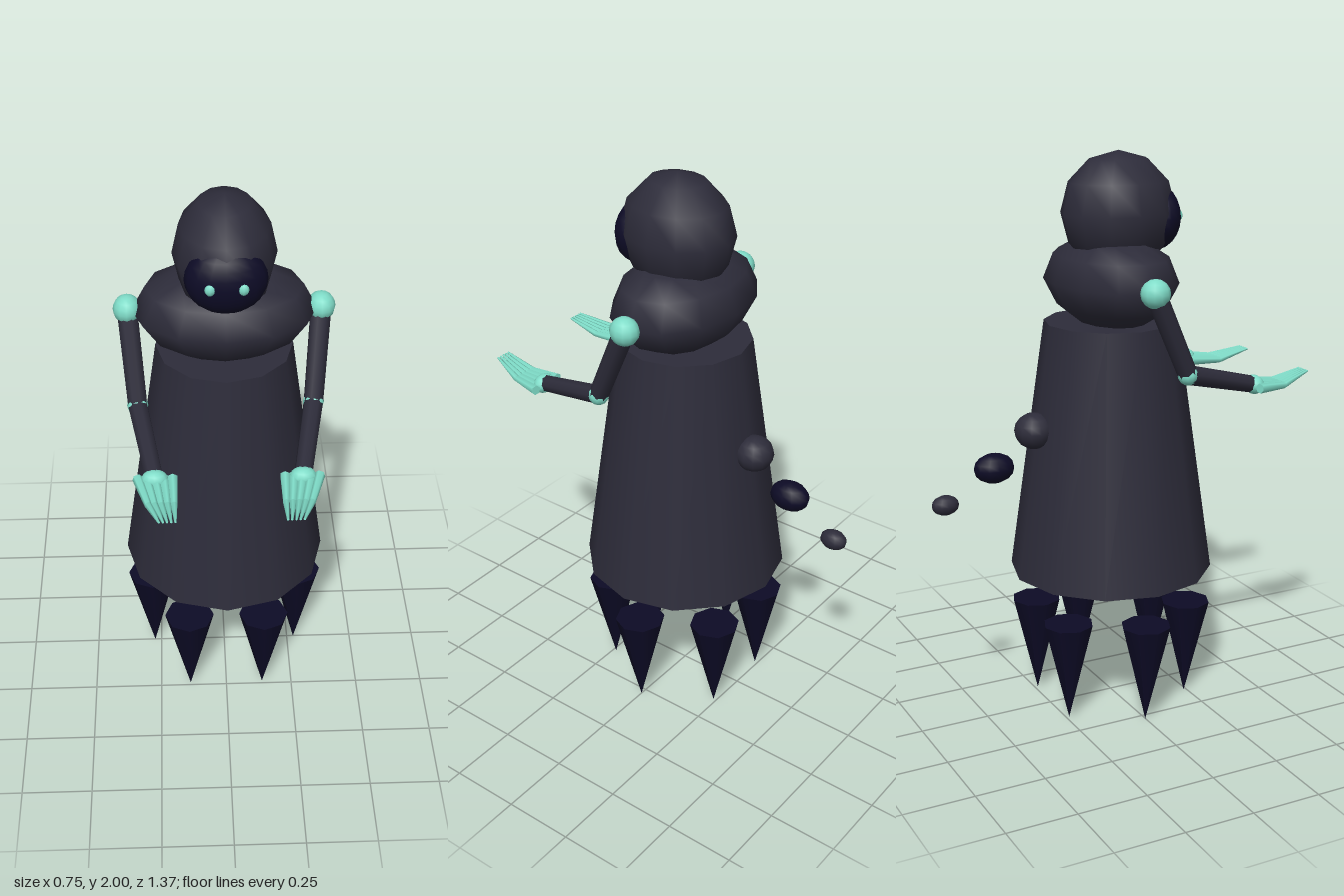
import * as THREE from 'three';

export function createModel() {
  const model = new THREE.Group();
  model.name = 'hoodedSpectre';
  const mat = (name, color) => {
    const m = new THREE.MeshStandardMaterial({ color });
    m.name = name;
    return m;
  };
  const cloth = mat('charcoal cloth', 0x2d2c3a);
  const shadow = mat('midnight blue', 0x0d0b26);
  const teal = mat('pale teal', 0x7fdcc8);

  const add = (name, geometry, material, parent = model) => {
    const mesh = new THREE.Mesh(geometry, material);
    mesh.name = name;
    parent.add(mesh);
    return mesh;
  };
  const ellipsoid = (name, pos, size, material, parent, w = 12, h = 8) => {
    const mesh = add(name, new THREE.SphereGeometry(1, w, h), material, parent);
    mesh.position.set(...pos);
    mesh.scale.set(...size);
    return mesh;
  };
  // Tapered cylinder running from point a to point b
  const limb = (name, a, b, ra, rb, material, parent, sides = 8) => {
    const p = new THREE.Vector3(...a), q = new THREE.Vector3(...b);
    const dir = q.clone().sub(p);
    const mesh = add(name, new THREE.CylinderGeometry(rb, ra, dir.length(), sides), material, parent);
    mesh.position.copy(p).add(q).multiplyScalar(0.5);
    mesh.quaternion.setFromUnitVectors(new THREE.Vector3(0, 1, 0), dir.normalize());
  };

  // Robe
  add('robe', new THREE.CylinderGeometry(0.235, 0.365, 0.91, 12), cloth).position.y = 0.96;

  // Wide cowl around the shoulders
  const profile = [[0, -0.142], [0.16, -0.14], [0.25, -0.09], [0.312, 0], [0.265, 0.09], [0.165, 0.137], [0, 0.145]]
    .map(([x, y]) => new THREE.Vector2(x, y));
  const cowl = add('cowl', new THREE.LatheGeometry(profile, 12), cloth);
  cowl.position.y = 1.555;
  cowl.scale.z = 0.69;

  // Hood, face and eyes
  ellipsoid('hood', [0, 1.79, 0.03], [0.172, 0.21, 0.208], cloth, model, 12, 6);
  ellipsoid('face', [0, 1.77, 0.165], [0.135, 0.12, 0.083], shadow, model, 16, 12);
  for (const s of [-1, 1]) ellipsoid('eye', [s * 0.053, 1.772, 0.238], [0.018, 0.02, 0.013], teal, model, 8, 6);

  // Arms with ball joints and bony hands
  for (const s of [-1, 1]) {
    const arm = new THREE.Group();
    arm.name = s > 0 ? 'leftArm' : 'rightArm';
    model.add(arm);
    const shoulder = [s * 0.325, 1.56, 0];
    const elbow = [s * 0.298, 1.265, 0.143];
    const wrist = [s * 0.242, 1.185, 0.445];
    ellipsoid('shoulderJoint', shoulder, [0.048, 0.05, 0.052], teal, arm);
    limb('upperArm', shoulder, elbow, 0.036, 0.034, cloth, arm);
    ellipsoid('elbowJoint', elbow, [0.036, 0.036, 0.036], teal, arm);
    limb('forearm', elbow, wrist, 0.034, 0.03, cloth, arm);
    ellipsoid('wristJoint', wrist, [0.045, 0.034, 0.033], teal, arm);
    for (let i = 0; i < 5; i++) {
      const t = i / 4;
      const x0 = s * (0.298 - 0.114 * t), x2 = s * (0.228 - 0.052 * t);
      const base = [x0, 1.183, 0.435];
      const knuckle = [(x0 + x2) / 2, 1.174, 0.56];
      const tip = [x2, 1.205, 0.682];
      limb('fingerBase', base, knuckle, 0.018, 0.012, teal, arm, 6);
      limb('fingerTip', knuckle, tip, 0.012, 0.004, teal, arm, 6);
    }
  }

  // Ring of hanging spikes below the robe
  for (let i = 0; i < 6; i++) {
    const a = i * Math.PI / 3;
    const spike = add('spike', new THREE.ConeGeometry(0.09, 0.365, 8), shadow);
    spike.rotation.x = Math.PI;
    spike.position.set(0.275 * Math.cos(a), 0.1825, 0.275 * Math.sin(a));
  }

  // Tail of floating orbs
  ellipsoid('tailOrbLarge', [0, 1.05, -0.3], [0.069, 0.064, 0.069], cloth);
  ellipsoid('tailOrbMiddle', [0, 0.935, -0.452], [0.053, 0.053, 0.074], shadow);
  ellipsoid('tailOrbSmall', [0, 0.828, -0.635], [0.035, 0.035, 0.049], cloth);

  return model;
}
